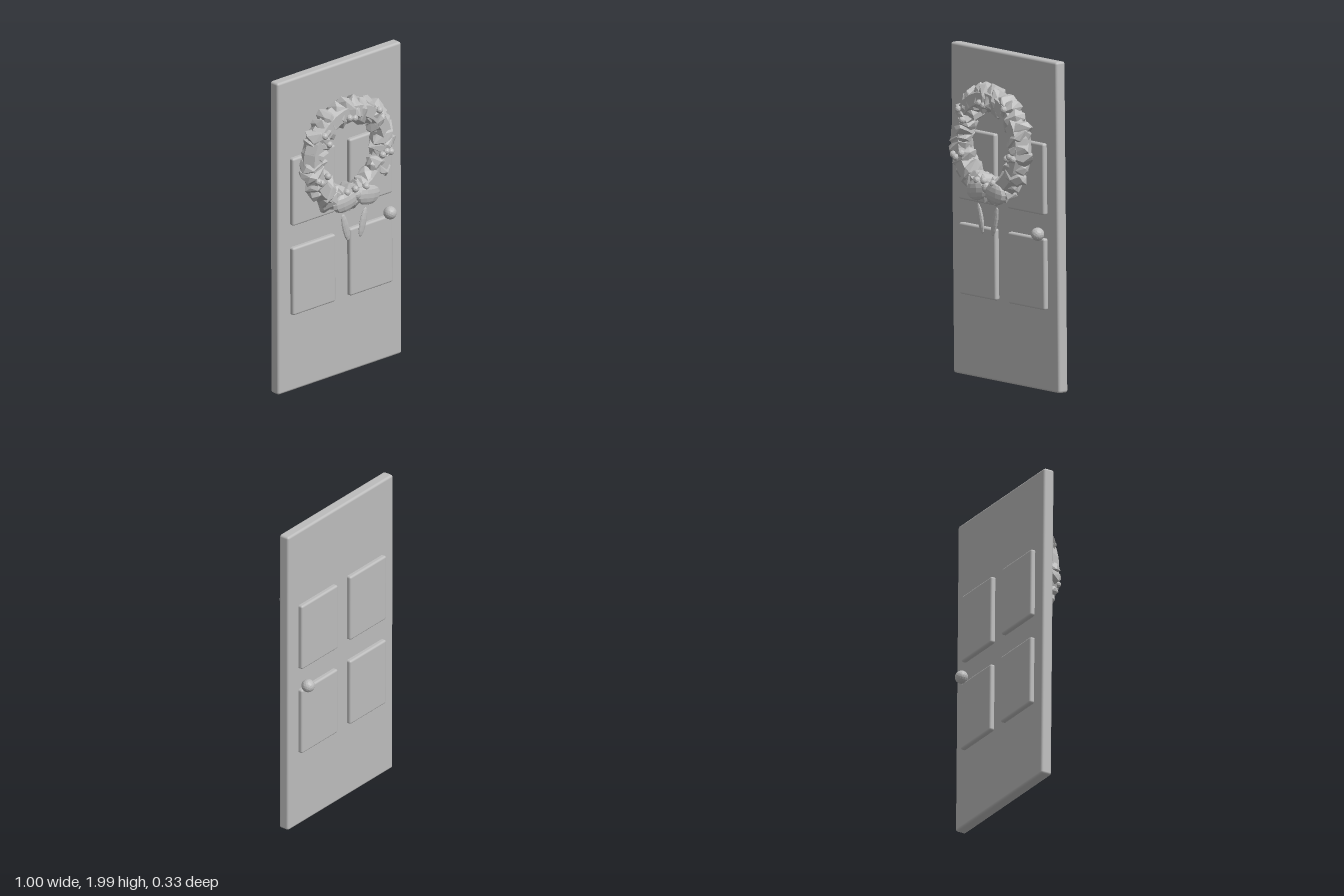
import * as THREE from 'three';
import { RoundedBoxGeometry } from 'three/addons/geometries/RoundedBoxGeometry.js';
import { ConvexGeometry } from 'three/addons/geometries/ConvexGeometry.js';

// small seeded generator, 0..1
function seeded(seed) {
  return () => {
    seed = (seed * 16807) % 2147483647;
    return seed / 2147483647;
  };
}

export function createModel() {
  const model = new THREE.Group();
  model.name = 'doorWithWreath';
  const grey = new THREE.MeshStandardMaterial({ color: 0xbcbcbc });
  grey.name = 'plain grey';
  const rand = seeded(4217);
  const spread = (a) => (rand() * 2 - 1) * a;

  const add = (parent, name, geometry, x, y, z) => {
    const mesh = new THREE.Mesh(geometry, grey);
    mesh.name = name;
    mesh.position.set(x, y, z);
    parent.add(mesh);
    return mesh;
  };
  const faceted = (geometry) => {
    const g = geometry.index ? geometry.toNonIndexed() : geometry;
    g.computeVertexNormals();
    return g;
  };

  // door, hung very slightly askew
  const door = new THREE.Group();
  door.name = 'door';
  door.position.set(0, 1.005, -0.043);
  door.rotation.set(0.005, 0.016, 0.0075);
  model.add(door);
  add(door, 'slab', new RoundedBoxGeometry(0.985, 1.98, 0.07, 2, 0.015), 0, 0, 0);

  // four raised panels standing proud on both faces
  for (const x of [-0.227, 0.227]) {
    for (const y of [0.28, -0.288]) {
      add(door, 'panel', new RoundedBoxGeometry(0.34, 0.428, 0.126, 2, 0.013), x, y, 0);
    }
  }

  // knobs front and back
  for (const z of [0.03, -0.128]) {
    add(model, 'knob', faceted(new THREE.IcosahedronGeometry(0.04, 2)), 0.36, 0.96, z);
  }

  // wreath: a ring of faceted, slanted foliage clumps
  const wreath = new THREE.Group();
  wreath.name = 'wreath';
  wreath.position.set(-0.02, 1.455, 0.078);
  model.add(wreath);
  const core = new THREE.TorusGeometry(0.275, 0.068, 6, 28);
  add(wreath, 'wreathCore', faceted(core), 0, 0, 0);

  const clumps = 30;
  for (let i = 0; i < clumps; i++) {
    const points = [];
    for (let k = 0; k < 22; k++) {
      const h = 1 - (2 * (k + 0.5)) / 22;
      const a = k * 2.4 + spread(0.35);
      const r = Math.sqrt(1 - h * h);
      const s = 0.9 + spread(0.13);
      points.push(new THREE.Vector3(
        r * Math.cos(a) * 0.103 * s,
        h * 0.058 * s,
        r * Math.sin(a) * 0.079 * s));
    }
    const angle = (i / clumps) * Math.PI * 2 + spread(0.05);
    const radius = 0.274 + spread(0.014);
    const clump = add(wreath, 'foliage', faceted(new ConvexGeometry(points)),
      radius * Math.cos(angle), radius * Math.sin(angle), spread(0.004));
    clump.rotation.set(spread(0.35), spread(0.2), angle + 0.25 + spread(0.25), 'ZYX');
  }

  // berries tucked into the front of the foliage
  const berries = [
    [-0.055, 1.7], [-0.015, 1.69], [0.18, 1.69], [-0.25, 1.635], [-0.215, 1.575],
    [-0.225, 1.375], [-0.275, 1.345], [-0.3, 1.36], [0.235, 1.415], [0.268, 1.405],
    [0.205, 1.4], [-0.075, 1.235], [0.075, 1.235], [-0.01, 1.24],
  ];
  const berry = faceted(new THREE.IcosahedronGeometry(0.022, 1));
  for (const [x, y] of berries) add(model, 'berry', berry, x, y, 0.14);

  // bow: two puffed loops, a knot and two hanging tails
  const puff = faceted(new THREE.SphereGeometry(1, 10, 7));
  const bow = new THREE.Group();
  bow.name = 'bow';
  model.add(bow);
  for (const side of [-1, 1]) {
    const loop = add(bow, 'bowLoop', puff, side * 0.09 + 0.005, 1.175, 0.135);
    loop.scale.set(0.095, 0.062, 0.029);
    loop.rotation.z = side * -0.15;
    const tail = add(bow, 'bowTail', puff, side * 0.068, 1.005, 0.12);
    tail.scale.set(0.026, 0.092, 0.012);
    tail.rotation.z = side * -0.25;
  }
  add(bow, 'bowKnot', puff, 0.003, 1.2, 0.135).scale.set(0.028, 0.032, 0.025);

  return model;
}
